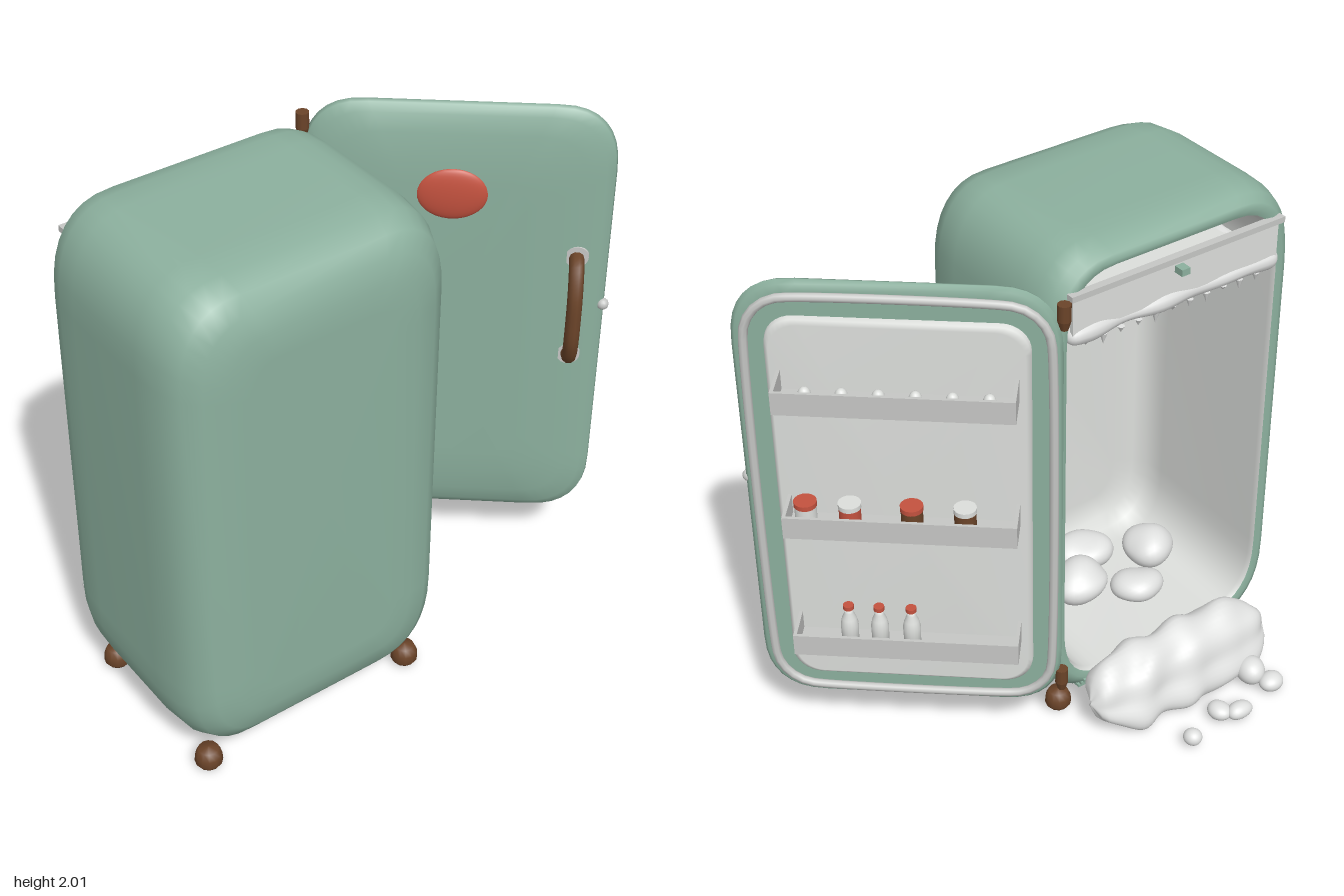
import * as THREE from 'three';
import { mergeVertices } from 'three/addons/utils/BufferGeometryUtils.js';

const mat = (name, color, side = THREE.FrontSide) => {
  const m = new THREE.MeshStandardMaterial({ color, side });
  m.name = name;
  return m;
};

// Rounded rectangle outline (counter-clockwise) with soft elliptical corners
function outline(cx, cy, hw, hh, rx, ry, z, power = 2.5, n = 8) {
  const pts = [];
  for (let q = 0; q < 4; q++) {
    const sx = q === 0 || q === 3 ? 1 : -1, sy = q < 2 ? 1 : -1;
    for (let i = 0; i <= n; i++) {
      const t = (q + i / n) * Math.PI / 2;
      const c = Math.abs(Math.cos(t)) ** (2 / power), s = Math.abs(Math.sin(t)) ** (2 / power);
      pts.push(new THREE.Vector3(cx + sx * (hw - rx + rx * c), cy + sy * (hh - ry + ry * s), z));
    }
  }
  return pts;
}

// Skin a row of equal outlines, with optional end caps
function loft(rings, capStart, capEnd) {
  const n = rings[0].length, pos = [], idx = [];
  rings.forEach(r => r.forEach(p => pos.push(p.x, p.y, p.z)));
  for (let k = 0; k < rings.length - 1; k++) {
    for (let i = 0; i < n; i++) {
      const j = (i + 1) % n, a = k * n + i, b = k * n + j, c = a + n, d = b + n;
      idx.push(a, c, b, b, c, d);
    }
  }
  const cap = (k, flip) => {
    const m = new THREE.Vector3();
    rings[k].forEach(p => m.addScaledVector(p, 1 / n));
    const o = pos.length / 3;
    pos.push(m.x, m.y, m.z);
    for (let i = 0; i < n; i++) {
      const a = k * n + i, b = k * n + (i + 1) % n;
      if (flip) idx.push(o, b, a); else idx.push(o, a, b);
    }
  };
  if (capStart) cap(0, false);
  if (capEnd) cap(rings.length - 1, true);
  const g = new THREE.BufferGeometry();
  g.setAttribute('position', new THREE.Float32BufferAttribute(pos, 3));
  g.setIndex(idx);
  g.computeVertexNormals();
  return g;
}

const bump = (x, y, z) =>
  (Math.sin(x * 23 + y * 9) + Math.sin(y * 27 + z * 13 + 1) + Math.sin(z * 25 + x * 17 + 2)) / 3;

// Push vertices along their normals by a wavy rule
function lumpy(g, amount, seed = 0) {
  g.deleteAttribute('uv');
  g = mergeVertices(g);
  const p = g.attributes.position, nm = g.attributes.normal;
  for (let i = 0; i < p.count; i++) {
    const d = amount * bump(p.getX(i) + seed, p.getY(i), p.getZ(i) - seed);
    p.setXYZ(i, p.getX(i) + nm.getX(i) * d, p.getY(i) + nm.getY(i) * d, p.getZ(i) + nm.getZ(i) * d);
  }
  g.computeVertexNormals();
  return g;
}

export function createModel() {
  const root = new THREE.Group();
  root.name = 'openRefrigerator';
  const green = mat('sageEnamel', 0x8cb09e);
  const liner = mat('paleLiner', 0xdcdedb);
  const grey = mat('lightGrey', 0xc6c7c5);
  const snow = mat('snow', 0xe0e1e0);
  const brown = mat('brown', 0x6b4429);
  const red = mat('red', 0xc4523f);

  const add = (parent, name, geo, m, x = 0, y = 0, z = 0) => {
    const o = new THREE.Mesh(geo, m);
    o.name = name;
    o.position.set(x, y, z);
    parent.add(o);
    return o;
  };
  const box = (parent, name, w, h, d, m, x, y, z) => add(parent, name, new THREE.BoxGeometry(w, h, d), m, x, y, z);

  // Cabinet shell and inner liner
  const bodyRing = ([z, inset]) => outline(-0.42, 1.04, 0.54 - inset, 0.96 - inset,
    0.25 - inset * 0.55, 0.34 - inset * 0.8, z);
  const shell = [[0.61, 0.27], [0.605, 0.18], [0.585, 0.1], [0.545, 0.045], [0.47, 0.012], [0.36, 0],
    [0, 0], [-0.09, 0.004], [-0.15, 0.02], [-0.18, 0.045], [-0.188, 0.065], [-0.18, 0.085]];
  add(root, 'cabinetShell', loft(shell.map(bodyRing), true, false), green);
  const inner = [[-0.18, 0.085], [-0.16, 0.092], [0.38, 0.095], [0.46, 0.11], [0.5, 0.15], [0.52, 0.24]];
  add(root, 'cabinetLiner', loft(inner.map(bodyRing), false, true), liner);

  // Feet
  for (const x of [-0.85, 0.01]) for (const z of [0.5, -0.11]) {
    const profile = [[0, 0], [0.04, 0], [0.05, 0.015], [0.048, 0.045], [0.036, 0.072], [0, 0.08]];
    add(root, 'foot', new THREE.LatheGeometry(profile.map(p => new THREE.Vector2(...p)), 12), brown, x, 0.008, z);
  }

  // Grille slats below the opening
  for (let i = 0; i < 3; i++) box(root, 'grilleSlat', 0.74, 0.012, 0.03, green, -0.42, 0.1 + i * 0.026, -0.145 - i * 0.018);

  // Freezer box
  box(root, 'freezerFloor', 0.9, 0.02, 0.66, liner, -0.42, 1.69, 0.16);
  box(root, 'freezerFlap', 0.88, 0.15, 0.016, liner, -0.42, 1.785, -0.185);
  box(root, 'freezerFlapRail', 0.91, 0.022, 0.03, grey, -0.42, 1.86, -0.193);
  box(root, 'freezerFlapHandle', 0.035, 0.025, 0.045, green, -0.42, 1.82, -0.21);

  // Frost along the edges of the freezer floor
  const frost = (len, r, x, y, z, alongZ, seed) => {
    const g = new THREE.CapsuleGeometry(r, len, 5, 12, 36);
    g.rotateZ(Math.PI / 2);
    if (alongZ) g.rotateY(Math.PI / 2);
    add(root, 'frostRidge', lumpy(g, 0.014, seed), snow, x, y, z);
  };
  frost(0.84, 0.033, -0.42, 1.695, -0.165, false, 0);
  frost(0.7, 0.035, -0.42, 1.67, 0.47, false, 3);
  for (const x of [-0.85, 0.01]) frost(0.46, 0.035, x, 1.67, 0.14, true, x);
  for (let i = 0; i < 11; i++) {
    const len = 0.03 + 0.014 * Math.sin(i * 2.3);
    const drip = add(root, 'icicle', new THREE.ConeGeometry(0.014, len, 8), snow, -0.79 + i * 0.074, 1.66 - len / 2, -0.17);
    drip.rotation.x = Math.PI;
  }

  // Lumps of snow on the cabinet floor and on the ground: x, y, z, radii
  const lumps = [
    [-0.2, 0.24, 0.34, 0.12, 0.08, 0.1], [-0.34, 0.23, 0.22, 0.13, 0.07, 0.1], [-0.03, 0.21, 0.07, 0.08, 0.055, 0.07],
    [-0.46, 0.23, 0.37, 0.12, 0.07, 0.1], [-0.52, 0.21, 0.08, 0.1, 0.06, 0.09], [-0.7, 0.23, 0.25, 0.11, 0.07, 0.1],
    [-0.67, 0.05, -0.43, 0.05, 0.045, 0.06], [-0.71, 0.035, -0.51, 0.05, 0.035, 0.045],
    [-0.51, 0.035, -0.57, 0.055, 0.035, 0.04], [-0.45, 0.035, -0.52, 0.045, 0.035, 0.05],
    [-0.27, 0.035, -0.575, 0.035, 0.032, 0.035]];
  lumps.forEach(([x, y, z, a, b, c], i) => {
    const g = new THREE.IcosahedronGeometry(1, 5);
    g.scale(a, b, c);
    add(root, 'snowLump', lumpy(g, Math.min(a, b, c) * 0.3, i * 1.7), snow, x, y, z);
  });

  // Snow spilling over the sill down to the ground
  const side = [[0.17, 0.19], [0.21, 0.16], [0.27, 0.08], [0.34, 0.018], [0.41, 0.015], [0.42, 0.08], [0.385, 0.17], [0.34, 0.255], [0.24, 0.275]];
  const spill = new THREE.CatmullRomCurve3(side.map(([d, y]) => new THREE.Vector3(0, y, -d)), true).getPoints(47).slice(0, 47);
  const mid = new THREE.Vector3(0, 0.15, -0.3);
  const rings = [];
  for (let i = 0; i <= 44; i++) {
    const t = i / 22 - 1, x = -0.41 - 0.41 * t;
    const s = Math.max(0.08, (1 - Math.abs(t) ** 5) ** 0.5);
    rings.push(spill.map(p => {
      const q = p.clone().sub(mid).multiplyScalar(s * (1 + 0.16 * bump(x * 1.4, p.y * 1.5, p.z * 1.5))).add(mid);
      q.x = x + 0.012 * bump(p.y, x, p.z);
      q.y = Math.max(q.y, 0.004);
      return q;
    }));
  }
  add(root, 'snowSpill', loft(rings, true, true), snow);

  // Door, swung open about its hinge; local +z is its outer side
  const door = new THREE.Group();
  door.name = 'door';
  door.position.set(0.12, 0, -0.28);
  door.rotation.y = -40 * Math.PI / 180;
  root.add(door);
  const doorRing = ([z, inset]) => outline(0.54, 1.0975, 0.54 - inset, 0.8775 - inset,
    0.22 - inset * 0.5, 0.25 - inset * 0.55, z);
  add(door, 'doorPanel', loft([[0.06, 0.3], [0.055, 0.2], [0.045, 0.1], [0.028, 0.035], [0.01, 0.006], [-0.005, 0],
    [-0.018, 0.012], [-0.022, 0.04]].map(doorRing), true, true), green);
  add(door, 'doorLiner', loft([[-0.01, 0], [-0.045, 0.004], [-0.056, 0.018]].map(([z, i]) =>
    outline(0.535, 1.095, 0.435 - i, 0.755 - i, 0.1, 0.1, z, 2)), false, true), liner);
  const sealPath = new THREE.CatmullRomCurve3(outline(0.535, 1.095, 0.5, 0.825, 0.15, 0.16, -0.03, 2, 5), true);
  add(door, 'doorSeal', new THREE.TubeGeometry(sealPath, 120, 0.016, 8, true), grey);

  // Hinges
  for (const y of [1.885, 0.34]) {
    add(door, 'hingePin', new THREE.CylinderGeometry(0.024, 0.024, 0.06, 10), brown, 0, y, 0);
    add(door, 'hingeTip', new THREE.CylinderGeometry(0.024, 0.014, 0.035, 10), brown, 0, y - 0.047, 0);
  }

  // Handle with round mounts
  const grip = [[0.98, 0.03], [1.0, 0.09], [1.08, 0.135], [1.19, 0.145], [1.3, 0.135], [1.38, 0.09], [1.4, 0.03]]
    .map(([y, z]) => new THREE.Vector3(0.965, y, z));
  add(door, 'handleGrip', new THREE.TubeGeometry(new THREE.CatmullRomCurve3(grip), 40, 0.027, 10), brown);
  for (const y of [0.98, 1.4]) {
    const mount = add(door, 'handleMount', new THREE.CylinderGeometry(0.042, 0.046, 0.03, 20), grey, 0.965, y, 0.035);
    mount.rotation.x = Math.PI / 2;
  }

  // Round magnet and latch knob
  add(door, 'magnet', new THREE.SphereGeometry(1, 28, 18), red, 0.52, 1.645, 0.055).scale.set(0.125, 0.1, 0.025);
  add(door, 'latchKnob', new THREE.SphereGeometry(0.022, 14, 10), grey, 1.075, 1.18, 0.01);

  // Door trays
  for (const y of [1.575, 1.07, 0.55]) {
    box(door, 'trayFloor', 0.79, 0.012, 0.135, grey, 0.535, y + 0.006, -0.123);
    box(door, 'trayLip', 0.79, 0.085, 0.012, grey, 0.535, y + 0.0425, -0.185);
    for (const x of [0.146, 0.924]) box(door, 'trayEnd', 0.012, 0.085, 0.135, grey, x, y + 0.0425, -0.123);
  }

  // Eggs
  for (let i = 0; i < 6; i++) add(door, 'egg', new THREE.SphereGeometry(0.022, 14, 10), liner, 0.23 + i * 0.12, 1.615, -0.123).scale.y = 1.25;

  // Jars: position, body, lid
  for (const [x, m, lid] of [[0.86, liner, red], [0.71, red, liner], [0.5, brown, red], [0.32, brown, liner]]) {
    add(door, 'jar', new THREE.CylinderGeometry(0.038, 0.038, 0.08, 16), m, x, 1.122, -0.12);
    add(door, 'jarLid', new THREE.CylinderGeometry(0.04, 0.04, 0.018, 16), lid, x, 1.171, -0.12);
  }

  // Capped bottles
  const bottle = [[0, 0], [0.03, 0], [0.032, 0.08], [0.026, 0.11], [0.016, 0.135], [0.015, 0.155], [0, 0.155]]
    .map(p => new THREE.Vector2(...p));
  for (const x of [0.74, 0.633, 0.52]) {
    add(door, 'bottle', new THREE.LatheGeometry(bottle, 16), liner, x, 0.562, -0.12);
    add(door, 'bottleCap', new THREE.CylinderGeometry(0.019, 0.019, 0.016, 14), red, x, 0.722, -0.12);
  }
  return root;
}
